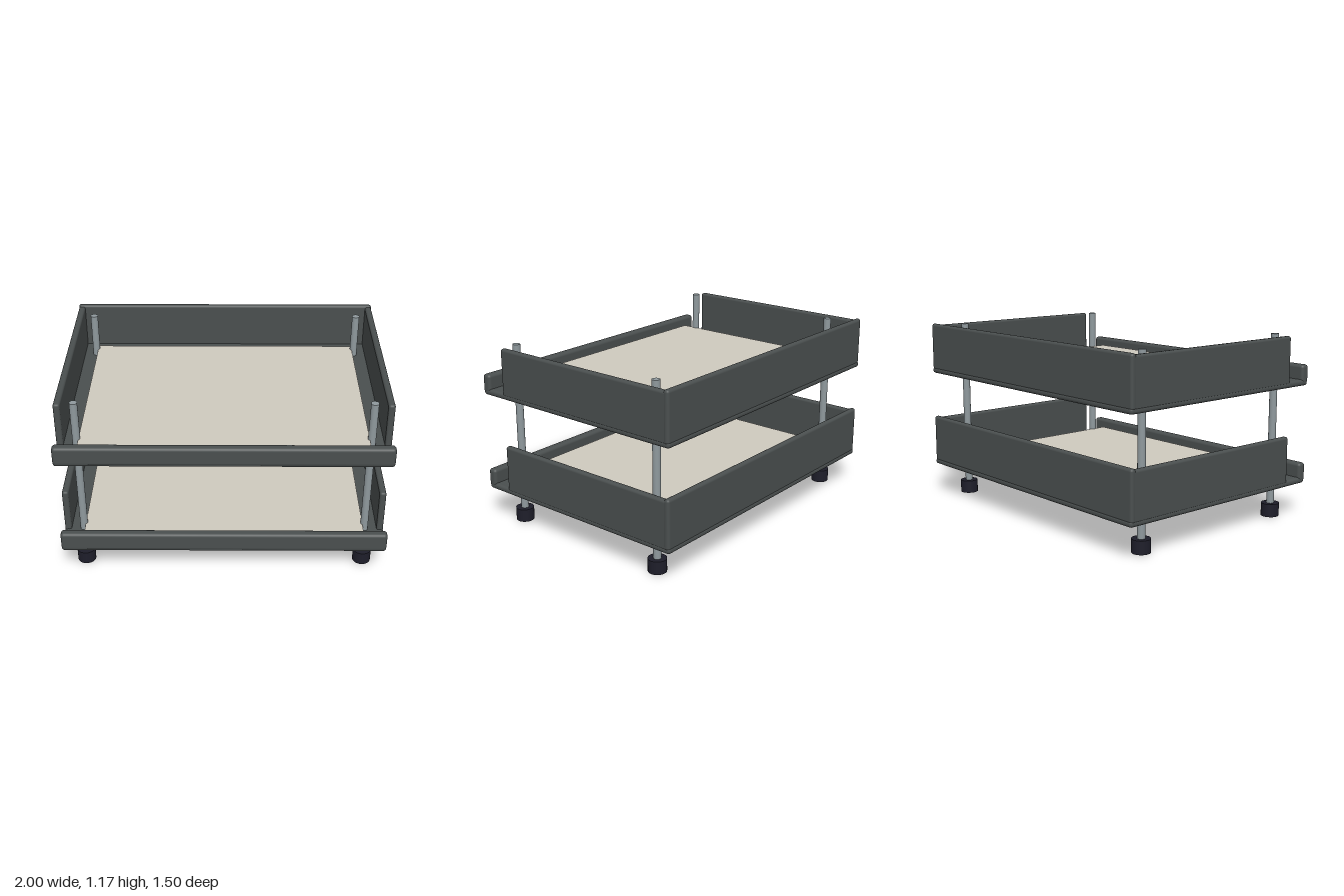
import * as THREE from 'three';
import { RoundedBoxGeometry } from 'three/addons/geometries/RoundedBoxGeometry.js';

const material = (name, color) => {
  const m = new THREE.MeshStandardMaterial({ color });
  m.name = name;
  return m;
};

export function createModel() {
  const trayGrey = material('trayGrey', 0x4a4f4f);
  const paperCream = material('paperCream', 0xcfcabf);
  const postSteel = material('postSteel', 0x8f999d);
  const footBlack = material('footBlack', 0x1e1e2a);

  const model = new THREE.Group();
  model.name = 'letterTray';

  const add = (parent, name, geometry, mat, x, y, z) => {
    const mesh = new THREE.Mesh(geometry, mat);
    mesh.name = name;
    mesh.position.set(x, y, z);
    parent.add(mesh);
  };

  // Rounded slab given by its lower and upper corners
  const slab = (parent, name, [x0, y0, z0], [x1, y1, z1], radius) =>
    add(parent, name, new RoundedBoxGeometry(x1 - x0, y1 - y0, z1 - z0, 4, radius), trayGrey,
      (x0 + x1) / 2, (y0 + y1) / 2, (z0 + z1) / 2);

  // Two identical trays, each with a stack of paper
  [['lowerTray', 0.205], ['upperTray', 0.835]].forEach(([name, height]) => {
    const tray = new THREE.Group();
    tray.name = name;
    tray.position.y = height;
    model.add(tray);

    slab(tray, 'base', [-1, 0, -0.75], [1, 0.04, 0.745], 0.018);
    slab(tray, 'frontLip', [-1, 0.012, 0.69], [1, 0.132, 0.75], 0.02);
    slab(tray, 'backWall', [-1, 0.02, -0.747], [1, 0.332, -0.709], 0.017);
    slab(tray, 'leftWall', [0.957, 0.02, -0.74], [0.998, 0.322, 0.575], 0.015);
    slab(tray, 'rightWall', [-0.998, 0.02, -0.74], [-0.957, 0.322, 0.575], 0.015);
    add(tray, 'paper', new THREE.BoxGeometry(1.73, 0.026, 1.25), paperCream, 0, 0.07, 0.03);
  });

  // Corner posts on round feet
  const post = new THREE.CylinderGeometry(0.024, 0.024, 1.095, 24);
  const foot = new THREE.CylinderGeometry(0.057, 0.057, 0.083, 24);
  for (const x of [-0.878, 0.878]) {
    for (const z of [-0.56, 0.56]) {
      add(model, 'post', post, postSteel, x, 0.6175, z);
      add(model, 'foot', foot, footBlack, x, 0.0415, z);
    }
  }
  return model;
}
